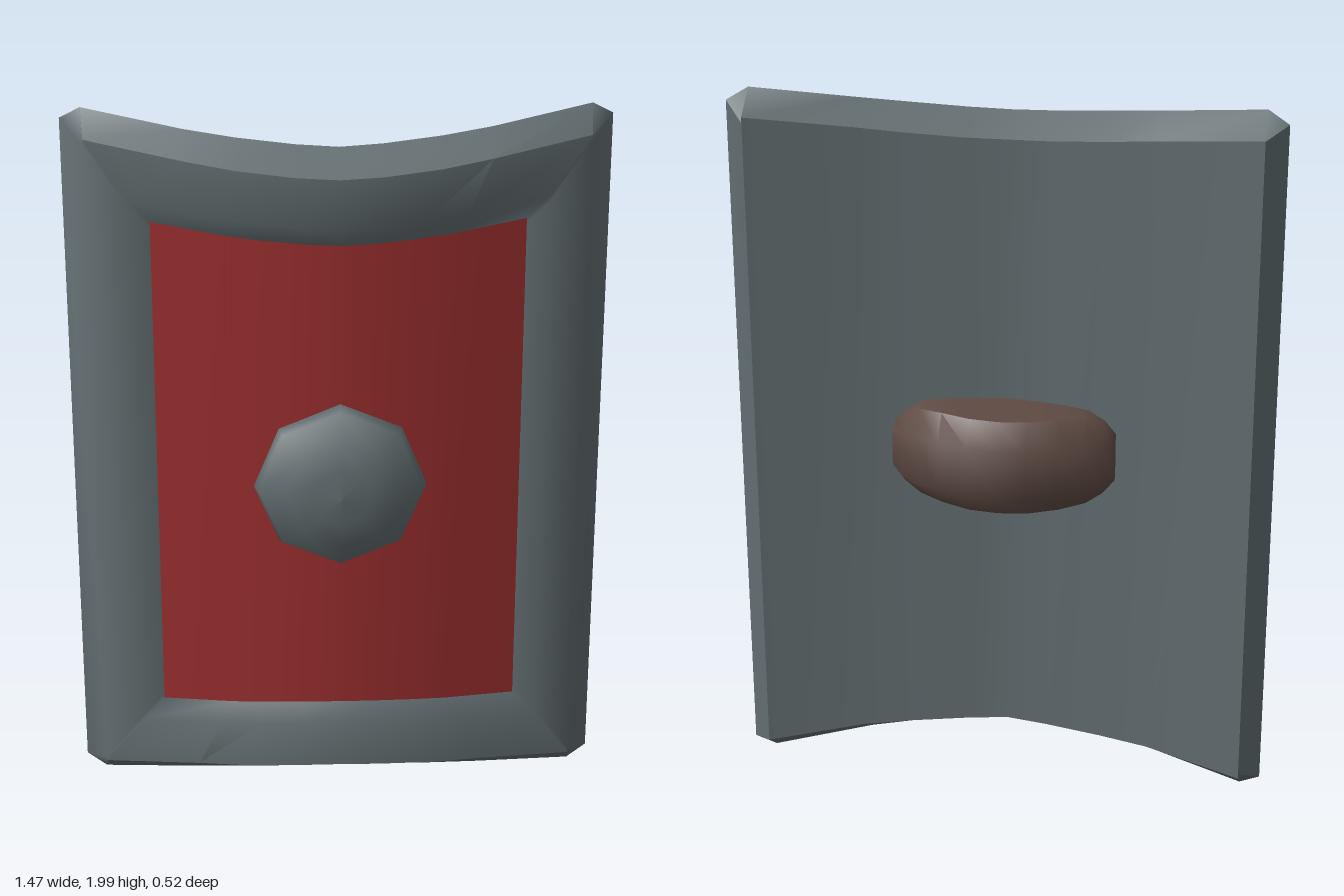
import * as THREE from 'three';
import { toCreasedNormals } from 'three/addons/utils/BufferGeometryUtils.js';

const steel = new THREE.MeshStandardMaterial({ color: 0x626d70 });
steel.name = 'steel grey';
const red = new THREE.MeshStandardMaterial({ color: 0x9a2e2e });
red.name = 'red';
const leather = new THREE.MeshStandardMaterial({ color: 0x5e4a43 });
leather.name = 'leather brown';

// Symmetric curve through [x, value] points
const curve = (pts) => (x) => {
  const a = Math.abs(x);
  let i = 1;
  while (i < pts.length - 1 && a > pts[i][0]) i++;
  const [x0, v0] = pts[i - 1], [x1, v1] = pts[i];
  return v0 + (v1 - v0) * (a - x0) / (x1 - x0);
};
const frontZ = curve([[0, 0.167], [0.12, 0.16], [0.28, 0.132], [0.68, 0.0]]);
const backZ = curve([[0, -0.038], [0.4, -0.087], [0.68, -0.165]]);
const midZ = (x) => (frontZ(x) + backZ(x)) / 2;
const panelZ = (x) => frontZ(x) - 0.03;

const COLS = [-1, -0.6, -0.4, -0.17, 0, 0.17, 0.4, 0.6, 1];
const N = COLS.length;
const CY = 1.005;

// Closed bowed-rectangle loop, anticlockwise from the front:
// w half width, hc / hk half height at the centre / corner, sx, sy chamfer point
function ring(w, hc, hk, z, sx = w, sy = hk - 0.015) {
  const edge = (sign) => COLS.map((u) => [
    u * w, CY + sign * (hc + (hk - hc) * Math.pow(Math.abs(u), 1.5)), z(u * w)]);
  const side = (s, t) => [s * sx, CY + t * sy, z(s * sx)];
  return [...edge(-1), side(1, -1), side(1, 1), ...edge(1).reverse(), side(-1, 1), side(-1, -1)];
}

function mesh(name, quads, material, crease) {
  const pos = [];
  for (const [a, b, c, d] of quads) pos.push(...a, ...b, ...c, ...a, ...c, ...d);
  const g = new THREE.BufferGeometry();
  g.setAttribute('position', new THREE.Float32BufferAttribute(pos, 3));
  const m = new THREE.Mesh(toCreasedNormals(g, crease), material);
  m.name = name;
  return m;
}

// Quads joining successive loops
function loft(loops) {
  const quads = [];
  for (let r = 0; r < loops.length - 1; r++) {
    const A = loops[r], B = loops[r + 1];
    A.forEach((p, i) => {
      const j = (i + 1) % A.length;
      quads.push([p, A[j], B[j], B[i]]);
    });
  }
  return quads;
}

// Vertical strips filling a ring, facing forward or backward
function fill(loop, back) {
  const quads = [];
  const top = (i) => loop[N + 2 + (N - 1 - i)];
  for (let i = 0; i < N - 1; i++) {
    const q = [loop[i], loop[i + 1], top(i + 1), top(i)];
    quads.push(back ? q.reverse() : q);
  }
  return quads;
}

export function createModel() {
  const group = new THREE.Group();
  group.name = 'shield';

  // Frame: back edge, outer ridge, front face, inner bevel
  const backRing = ring(0.68, 0.87, 0.935, backZ);
  const panelRing = ring(0.5, 0.675, 0.712, panelZ);
  const rings = [
    backRing,
    ring(0.68, 0.922, 0.995, midZ, 0.737, 0.962),
    ring(0.67, 0.862, 0.93, frontZ),
    ring(0.56, 0.728, 0.776, frontZ),
    panelRing,
  ];
  group.add(mesh('frame', loft(rings), steel, 0.9));
  group.add(mesh('backPlate', fill(backRing, true), steel, 0.5));
  group.add(mesh('frontPanel', fill(panelRing, false), red, 0.5));

  // Eight-sided boss
  const profile = [[0.2, 0.09], [0.235, 0.15], [0.222, 0.18], [0.15, 0.232], [0.08, 0.248], [0, 0.257]]
    .map(([r, z]) => new THREE.Vector2(r, z));
  const boss = new THREE.Mesh(new THREE.LatheGeometry(profile, 8).rotateX(Math.PI / 2), steel);
  boss.name = 'boss';
  boss.position.y = CY;
  group.add(boss);

  // Grip: sections across the back as [x, full height, shoulder z, outer height, outer z]
  const half = [
    [0, 0.135, -0.205, 0.072, -0.259],
    [0.08, 0.135, -0.195, 0.072, -0.247],
    [0.16, 0.133, -0.162, 0.07, -0.225],
    [0.23, 0.125, -0.125, 0.068, -0.187],
    [0.275, 0.1, -0.105, 0.06, -0.155],
    [0.305, 0.065, -0.095, 0.045, -0.125],
  ];
  const sections = [...half.slice(1).reverse().map(([x, ...s]) => [-x, ...s]), ...half]
    .map(([x, h, z, ho, zo]) => [
      [x, CY - h, -0.03], [x, CY - h, z], [x, CY - ho, zo],
      [x, CY + ho, zo], [x, CY + h, z], [x, CY + h, -0.03]]);
  const grip = loft(sections).map((q) => q.reverse());
  // End caps
  const first = sections[0], last = sections[sections.length - 1];
  for (const [a, b, c, d] of [[0, 1, 4, 5], [1, 2, 3, 4]]) {
    grip.push([first[d], first[c], first[b], first[a]]);
    grip.push([last[a], last[b], last[c], last[d]]);
  }
  // Orient every face away from the grip core
  const core = new THREE.Vector3(0, CY, -0.1);
  const oriented = grip.map((q) => {
    const [a, b, c, d] = q.map((p) => new THREE.Vector3(...p));
    const n = c.clone().sub(a).cross(d.clone().sub(b));
    const mid = a.add(b).add(c).add(d).multiplyScalar(0.25);
    return n.dot(mid.sub(core)) < 0 ? [...q].reverse() : q;
  });
  group.add(mesh('grip', oriented, leather, 0.8));

  return group;
}
